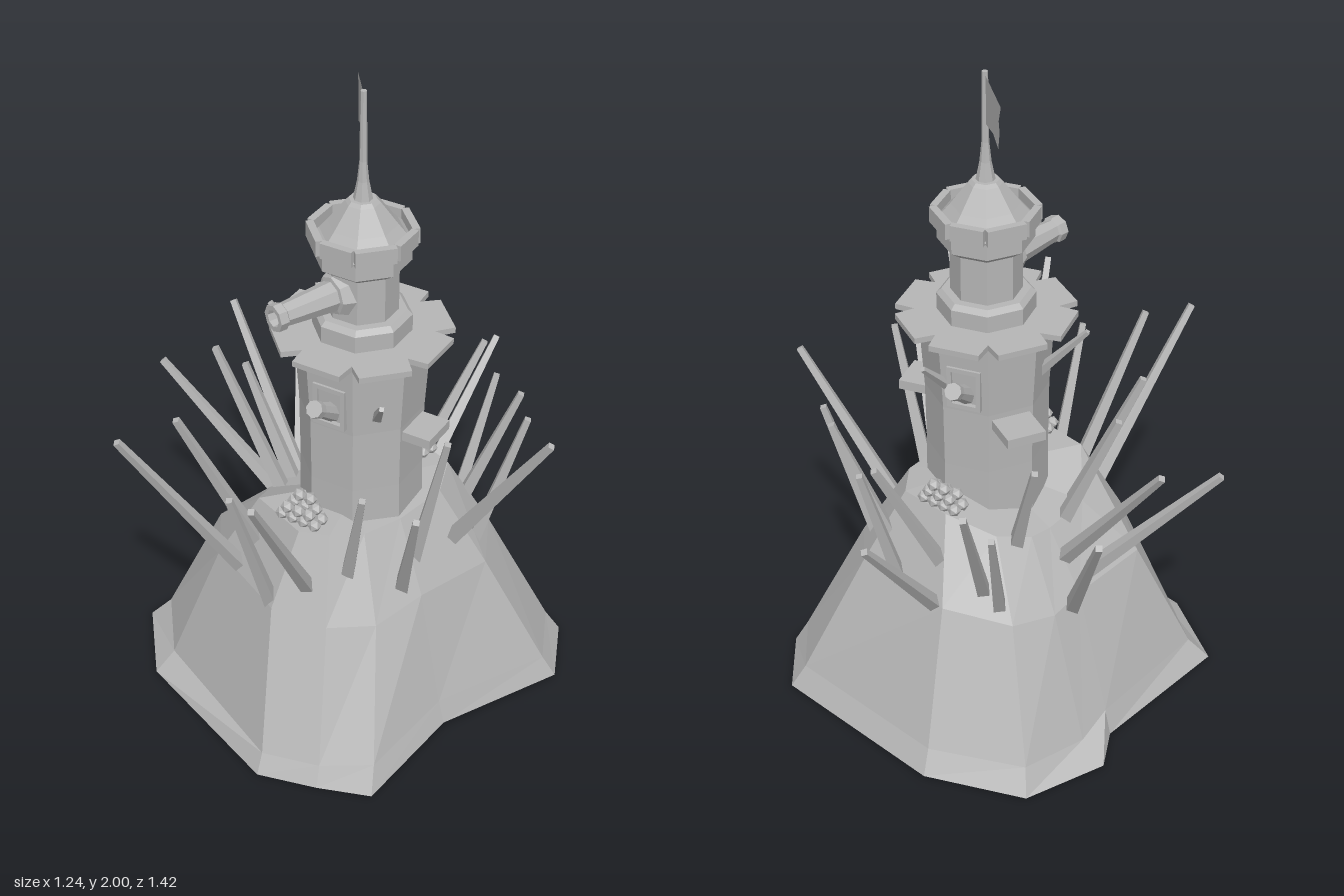
import * as THREE from 'three';

const stone = new THREE.MeshStandardMaterial({ color: 0xb6b6b6, flatShading: true, side: THREE.DoubleSide });
stone.name = 'grey stone';

const V = (x, y, z) => new THREE.Vector3(x, y, z);
const AXIS = V(0.085, 0, -0.012);

function add(parent, name, geometry, x = 0, y = 0, z = 0) {
  const m = new THREE.Mesh(geometry, stone);
  m.name = name;
  m.position.set(x, y, z);
  parent.add(m);
  return m;
}

// eight sided turned shape from [radius, height] pairs, corners on the axes
const turned = pts => new THREE.LatheGeometry(pts.map(p => new THREE.Vector2(p[0], p[1])), 8);

// tapered bar between two points
function bar(parent, name, a, b, ra, rb, sides = 4) {
  const d = b.clone().sub(a);
  const m = add(parent, name, new THREE.CylinderGeometry(rb, ra, d.length(), sides));
  m.position.copy(a).addScaledVector(d, 0.5);
  m.quaternion.setFromUnitVectors(V(0, 1, 0), d.normalize());
  return m;
}

// group standing on one side of the tower, its +z pointing outwards
function onFace(parent, name, degrees, y, distance) {
  const g = new THREE.Group(), a = THREE.MathUtils.degToRad(degrees);
  g.name = name;
  g.position.set(Math.sin(a) * distance, y, Math.cos(a) * distance);
  g.rotation.y = a;
  parent.add(g);
  return g;
}

// rocky mound: irregular rings with a flared skirt and a top, open below
function moundGeometry() {
  const rings = [
    [[-.48, 0, .415], [-.235, 0, .555], [.325, 0, .555], [.475, 0, .445], [.6, 0, .335], [.535, .06, .01],
      [.54, .01, -.44], [.38, .01, -.6], [-.21, .01, -.6], [-.495, .01, -.46], [-.57, .01, -.2], [-.5, .02, -.09]],
    [[-.43, .07, .37], [-.235, .05, .485], [.31, .06, .525], [.455, .06, .42], [.565, .08, .3], [.51, .13, .01],
      [.51, .08, -.41], [.355, .08, -.56], [-.19, .08, -.56], [-.455, .08, -.42], [-.485, .06, -.2], [-.47, .09, -.08]],
    [[-.31, .44, .24], [-.13, .47, .365], [.18, .47, .39], [.33, .45, .3], [.4, .44, .17], [.4, .47, 0],
      [.375, .45, -.27], [.24, .47, -.395], [-.1, .47, -.4], [-.29, .45, -.3], [-.33, .43, -.16], [-.32, .44, -.04]],
    [[-.16, .6, .15], [-.04, .69, .275], [.17, .7, .28], [.24, .7, .22], [.275, .68, .12], [.28, .68, -.01],
      [.255, .69, -.18], [.17, .7, -.28], [0, .7, -.28], [-.13, .64, -.2], [-.18, .61, -.1], [-.18, .6, -.02]],
  ];
  const centre = [.085, .7, -.012], pos = [];
  const tri = (...c) => c.forEach(p => pos.push(...p));
  for (let i = 0; i < 12; i++) {
    const j = (i + 1) % 12;
    for (let r = 0; r < 3; r++) {
      const lo = rings[r], hi = rings[r + 1];
      tri(lo[i], lo[j], hi[j]);
      tri(lo[i], hi[j], hi[i]);
    }
    tri(rings[3][i], rings[3][j], centre);
  }
  const g = new THREE.BufferGeometry();
  g.setAttribute('position', new THREE.Float32BufferAttribute(pos, 3));
  g.computeVertexNormals();
  return g;
}

// platform floor with a notch at every corner
function platformGeometry() {
  const s = new THREE.Shape(), at = (deg, r, first) => {
    const a = THREE.MathUtils.degToRad(deg);
    s[first ? 'moveTo' : 'lineTo'](r * Math.sin(a), r * Math.cos(a));
  };
  for (let k = 0; k < 8; k++) {
    at(k * 45, 0.21, k === 0);
    at(k * 45 + 6, 0.267);
    at(k * 45 + 39, 0.267);
  }
  return new THREE.ExtrudeGeometry(s, { depth: 0.018, bevelEnabled: false }).rotateX(-Math.PI / 2);
}

function ballPile(parent, name, x, z, turn) {
  const g = new THREE.Group();
  g.name = name;
  g.position.set(x, 0.715, z);
  g.rotation.y = turn;
  parent.add(g);
  for (let level = 0; level < 3; level++) {
    const n = 4 - level;
    for (let i = 0; i < n; i++)
      for (let r = 0; r < (level < 2 ? 2 : 1); r++)
        add(g, 'cannonball', new THREE.IcosahedronGeometry(0.021, 0),
          (i - (n - 1) / 2) * 0.038, level * 0.029, (r - 0.5) * 0.036);
  }
}

export function createModel() {
  const model = new THREE.Group();
  model.name = 'tower on a spiked mound';
  add(model, 'mound', moundGeometry());

  const tower = new THREE.Group();
  tower.name = 'tower';
  tower.position.copy(AXIS);
  model.add(tower);

  // the shaft reaches down inside the hollow mound
  add(tower, 'lowerTower', turned([[0, .32], [.19, .32], [.183, .8], [.185, 1], [.2, 1.24], [0, 1.24]]));
  add(tower, 'platform', platformGeometry(), 0, 1.24, 0);
  add(tower, 'upperTower', turned([[.145, 1.25], [.145, 1.31], [.13, 1.325], [.105, 1.325], [.105, 1.465],
    [.14, 1.49], [.14, 1.545], [.15, 1.55], [.12, 1.575], [0, 1.575]]));
  add(tower, 'roof', turned([[.125, 1.57], [.1, 1.6], [.05, 1.665], [.04, 1.675], [.028, 1.675], [.017, 1.73],
    [.011, 1.79], [.009, 2], [0, 2]]));

  // parapet blocks around the roof
  for (let k = 0; k < 8; k++) {
    const g = onFace(tower, 'parapet', 22.5 + k * 45, 1.567, 0.138);
    add(g, 'parapetBlock', new THREE.BoxGeometry(k % 2 ? 0.118 : 0.1, 0.048, 0.022));
  }

  // torn flag, swept to the back and side
  const flag = new THREE.Shape([[0, 0], [.173, -.02], [.15, -.07], [.16, -.1], [.145, -.155], [.09, -.135], [0, -.145]]
    .map(p => new THREE.Vector2(...p)));
  add(tower, 'flag', new THREE.ShapeGeometry(flag), 0, 1.99, 0).rotation.y = Math.PI - 0.56;

  // big cannon in the upper tower
  const cannon = onFace(tower, 'cannon', 0, 1.4, 0);
  add(cannon, 'cannonBarrel', turned([[0, .05], [.073, .05], [.073, .075], [.058, .11], [.046, .112], [.034, .275],
    [.041, .28], [.041, .307], [.026, .307], [.022, .25], [0, .25]]).rotateX(Math.PI / 2));

  // windows with small guns aimed upwards
  for (const angle of [22.5, 202.5]) {
    const w = onFace(tower, 'window', angle, 1.085, 0.175);
    for (const s of [-1, 1]) {
      add(w, 'windowPost', new THREE.BoxGeometry(0.014, 0.13, 0.025), s * 0.045, 0, 0);
      add(w, 'windowLintel', new THREE.BoxGeometry(0.104, 0.014, 0.025), 0, s * 0.06, 0);
    }
    bar(w, 'smallGun', V(0, -0.04, -0.03), V(0, 0.035, 0.08), 0.032, 0.02, 8);
    bar(w, 'gunMuzzle', V(0, 0.025, 0.066), V(0, 0.042, 0.09), 0.026, 0.026, 8);
  }

  // ledges
  for (const [angle, depth] of [[112.5, 0.1], [247.5, 0.125]])
    add(onFace(tower, 'ledge', angle, 0.968, 0.16 + depth / 2), 'ledgeBoard', new THREE.BoxGeometry(0.12, 0.03, depth));

  // thin spears fixed to the tower wall
  bar(model, 'wallSpear', V(.24, 1.05, .05), V(.425, 1.24, .18), .018, .009);
  bar(model, 'wallSpear', V(-.06, 1.07, .05), V(-.2, 1.24, .11), .018, .009);
  bar(model, 'wallSpear', V(.08, 1.05, -.16), V(.07, 1.18, -.29), .018, .009);

  // stakes around the mound: [base x, base z, tip x, tip y, tip z]
  const stakes = [
    [-.06, -.38, -.105, .85, -.7], [-.165, -.29, -.32, .975, -.53], [-.22, -.28, -.345, .87, -.445],
    [-.34, -.09, -.59, .88, -.275], [-.27, -.02, -.6, .99, -.025], [-.31, .055, -.61, .865, .24],
    [-.17, -.15, -.29, .95, -.21], [-.18, .07, -.31, .97, .13], [-.15, .13, -.31, 1.07, .235],
    [-.03, .36, -.115, 1.04, .7], [0, .31, -.07, 1.07, .53], [.15, .37, .175, .93, .52],
    [.23, .29, .39, 1.06, .59], [.38, .055, .555, .92, .155], [.29, .19, .42, .95, .24],
    [.34, -.03, .46, 1.05, -.03], [.32, -.18, .61, 1.02, -.285], [.3, -.28, .4, .95, -.385],
    [.18, -.32, .3, .96, -.445], [.1, -.38, .115, .9, -.51], [-.03, -.32, .03, .97, -.53],
  ];
  for (const [bx, bz, tx, ty, tz] of stakes) {
    const foot = V(bx, Math.min(0.63, 1.06 - 1.55 * Math.hypot(bx - 0.05, bz)), bz), tip = V(tx, ty, tz);
    bar(model, 'stake', foot.lerp(tip, -0.18), tip, 0.028, 0.013);
  }

  ballPile(model, 'frontBalls', .13, .24, 0.35);
  ballPile(model, 'backBalls', .04, -.25, 0.1);
  return model;
}
